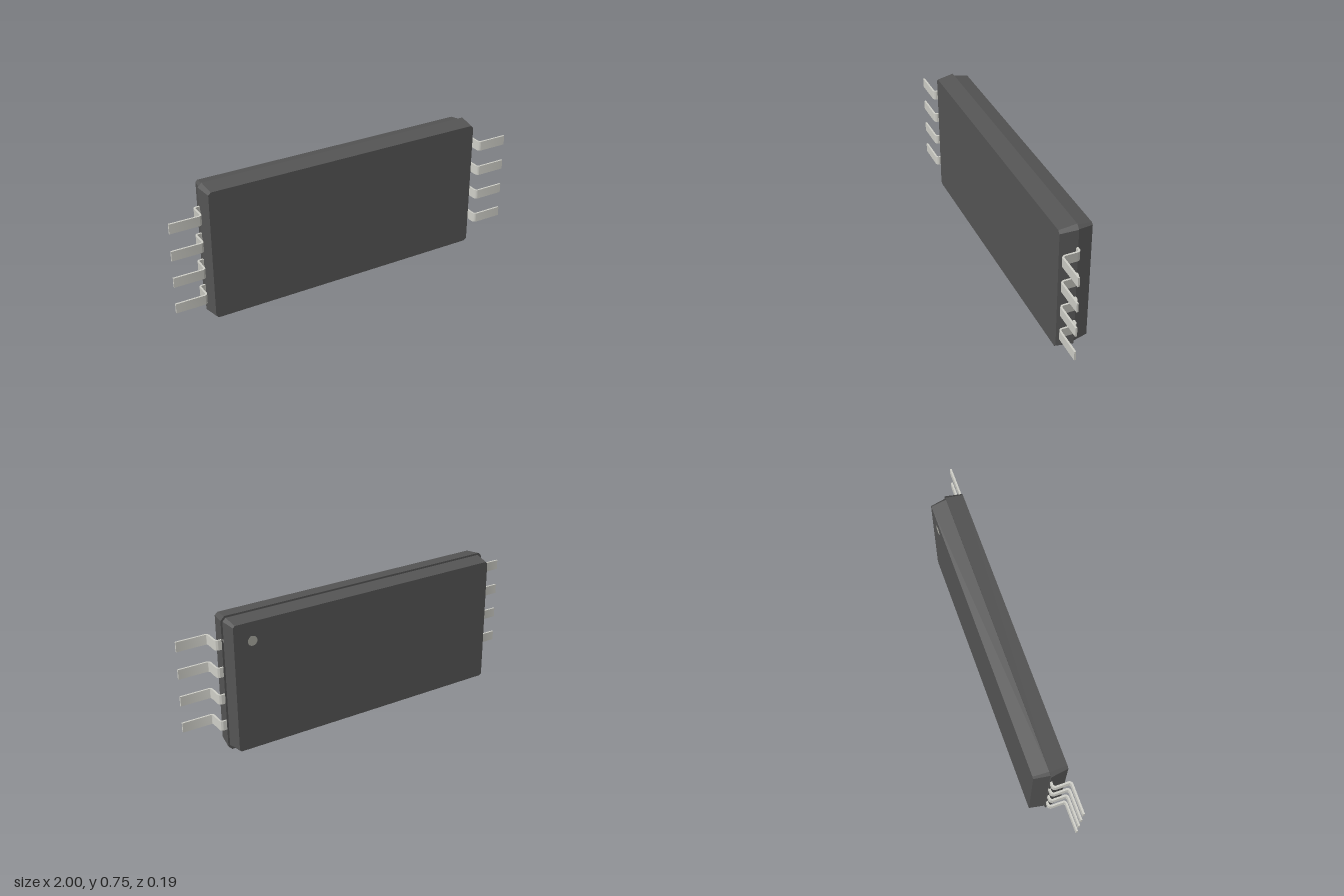
import * as THREE from 'three';
import { toCreasedNormals } from 'three/addons/utils/BufferGeometryUtils.js';
import { ConvexGeometry } from 'three/addons/geometries/ConvexGeometry.js';

const MID_Y = 0.3725;
const SPLIT_Z = -0.01;

// Rectangle with chamfered corners, centred on the body at depth z
function section(halfX, halfY, chamfer, z) {
  const points = [];
  for (const sx of [-1, 1]) {
    for (const sy of [-1, 1]) {
      points.push(new THREE.Vector3(sx * (halfX - chamfer), MID_Y + sy * halfY, z));
      points.push(new THREE.Vector3(sx * halfX, MID_Y + sy * (halfY - chamfer), z));
    }
  }
  return points;
}

// Bent gull-wing strip, drawn in x and -z, then given its width along y
function leadGeometry() {
  const width = 0.053, inner = 0.01, outer = 0.02;
  const s = new THREE.Shape();
  s.moveTo(0.78, 0);
  s.lineTo(0.815, 0);
  s.absarc(0.815, -0.01, inner, Math.PI / 2, 0, true);
  s.lineTo(0.825, -0.073);
  s.absarc(0.845, -0.073, outer, Math.PI, Math.PI * 1.5, false);
  s.lineTo(1, -0.093);
  s.lineTo(1, -0.083);
  s.lineTo(0.845, -0.083);
  s.absarc(0.845, -0.073, inner, Math.PI * 1.5, Math.PI, true);
  s.lineTo(0.835, -0.01);
  s.absarc(0.815, -0.01, outer, 0, Math.PI / 2, false);
  s.lineTo(0.78, 0.01);
  s.closePath();
  const g = new THREE.ExtrudeGeometry(s, { depth: width, bevelEnabled: false, curveSegments: 8 });
  g.translate(0, 0, -width / 2);
  g.rotateX(-Math.PI / 2);
  return toCreasedNormals(g, 0.6);
}

export function createModel() {
  const model = new THREE.Group();
  const plastic = new THREE.MeshStandardMaterial({ color: 0x555555 });
  const metal = new THREE.MeshStandardMaterial({ color: 0xcfcfc8 });

  function add(name, geometry, material) {
    const mesh = new THREE.Mesh(geometry, material);
    mesh.name = name;
    model.add(mesh);
    return mesh;
  }

  // Moulded body: two tapered halves with a small step at the seam
  add('frontHousing', new ConvexGeometry([
    ...section(0.8, 0.3725, 0.021, SPLIT_Z),
    ...section(0.786, 0.3585, 0.014, 0.083),
  ]), plastic);
  add('backHousing', new ConvexGeometry([
    ...section(0.79, 0.3625, 0.017, SPLIT_Z),
    ...section(0.776, 0.349, 0.01, -0.093),
  ]), plastic);

  // Round orientation mark on the back face
  const mark = new THREE.CylinderGeometry(0.026, 0.026, 0.004, 32);
  mark.rotateX(Math.PI / 2);
  add('orientationMark', mark, new THREE.MeshStandardMaterial({ color: 0xa8a8a0 }))
    .position.set(0.675, 0.62, -0.092);

  // Four leads on each short side
  const lead = leadGeometry();
  for (let i = 0; i < 4; i++) {
    for (const side of ['left', 'right']) {
      const mesh = add(`${side}Lead${i + 1}`, lead, metal);
      mesh.position.y = 0.148 + i * 0.15;
      if (side === 'right') mesh.rotation.z = Math.PI;
    }
  }
  return model;
}
